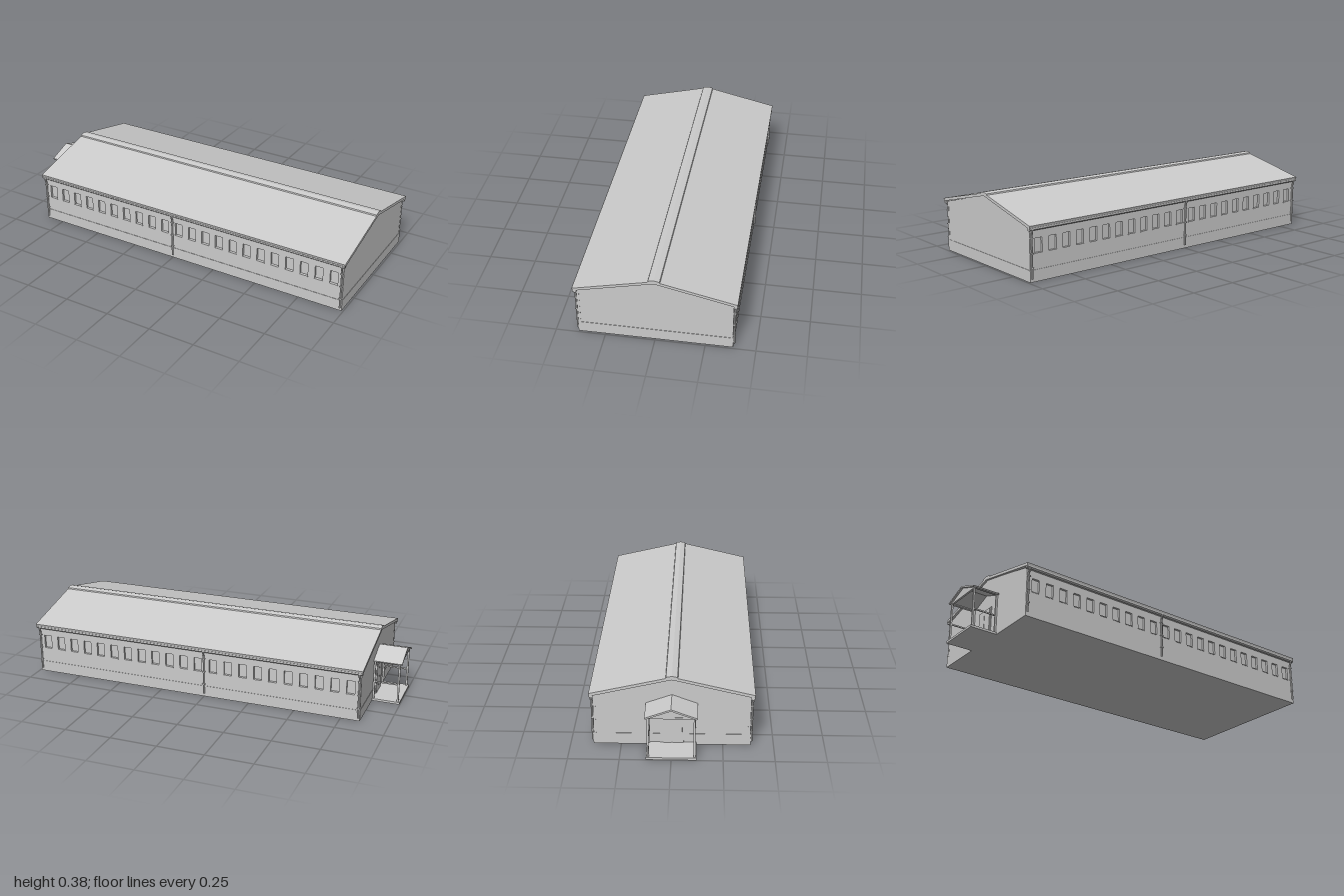
import * as THREE from 'three';

const material = new THREE.MeshStandardMaterial({ color: 0xcccccc, flatShading: true });

// Long building: extents of the wall faces
const X0 = -0.85, X1 = 0.99, WALL_Z = 0.385;

function add(parent, name, geometry) {
  const mesh = new THREE.Mesh(geometry, material);
  mesh.name = name;
  parent.add(mesh);
  return mesh;
}

// Box given by its minimum and maximum corners
function box(parent, name, x0, x1, y0, y1, z0, z1) {
  const mesh = add(parent, name, new THREE.BoxGeometry(x1 - x0, y1 - y0, z1 - z0));
  mesh.position.set((x0 + x1) / 2, (y0 + y1) / 2, (z0 + z1) / 2);
  return mesh;
}

// Cross-section of [z, y] points swept along x
function sweep(parent, name, points, x0, x1) {
  const shape = new THREE.Shape(points.map(([z, y]) => new THREE.Vector2(-z, y)));
  const geometry = new THREE.ExtrudeGeometry(shape, { depth: x1 - x0, bevelEnabled: false });
  geometry.rotateY(Math.PI / 2).translate(x0, 0, 0);
  return add(parent, name, geometry);
}

// Symmetric section from its right half, listed from the ridge outwards
const mirrored = half => [...half, ...half.filter(([z]) => z > 0).reverse().map(([z, y]) => [-z, y])];

// Symmetric pitched slab: a chevron section with a given upper and lower line
function chevron(parent, name, z, topRidge, topEave, lowRidge, lowEave, x0, x1) {
  return sweep(parent, name, [
    [0, topRidge], [z, topEave], [z - 0.004, lowEave], [0, lowRidge], [-z + 0.004, lowEave], [-z, topEave],
  ], x0, x1);
}

// Window centres: ten in one bay, twelve in the other
const windows = [];
for (let i = 0; i < 10; i++) windows.push(-0.797 + i * 0.083);
for (let i = 0; i < 12; i++) windows.push(0.037 + i * 0.082);
const WIN = { w: 0.043, y0: 0.14, y1: 0.214 };

function buildLongWall(side) {
  const group = new THREE.Group();
  group.name = side > 0 ? 'frontWall' : 'backWall';
  const shape = new THREE.Shape([
    new THREE.Vector2(X0, 0.06), new THREE.Vector2(X1, 0.06),
    new THREE.Vector2(X1, 0.266), new THREE.Vector2(X0, 0.266),
  ]);
  for (const x of windows) {
    const a = x - WIN.w / 2, b = x + WIN.w / 2;
    shape.holes.push(new THREE.Path([
      new THREE.Vector2(a, WIN.y0), new THREE.Vector2(a, WIN.y1),
      new THREE.Vector2(b, WIN.y1), new THREE.Vector2(b, WIN.y0),
    ]));
  }
  const wall = add(group, 'wallPanel', new THREE.ExtrudeGeometry(shape, { depth: 0.012, bevelEnabled: false }));
  wall.position.z = side > 0 ? WALL_Z - 0.012 : -WALL_Z;

  // Thin sills below the recessed panes
  for (const x of windows) {
    const sill = box(group, 'windowSill', x - 0.023, x + 0.023, WIN.y0 - 0.003, WIN.y0 + 0.001, -0.007, 0.007);
    sill.position.z = side * (WALL_Z - 0.005);
  }

  // Eaves gutter
  const gutter = [[0.384, 0.268], [0.403, 0.27], [0.403, 0.262], [0.396, 0.256], [0.384, 0.256]];
  sweep(group, 'gutter', gutter.map(([z, y]) => [side * z, y]), X0 - 0.008, X1 + 0.008);

  // Downpipes with a swan-neck at the top and wall brackets
  for (const x of [X0 + 0.008, 0, X1 - 0.008]) {
    const path = new THREE.CurvePath();
    const p = [[0.391, 0.018], [0.391, 0.235], [0.398, 0.25], [0.398, 0.264]]
      .map(([z, y]) => new THREE.Vector3(x, y, side * z));
    for (let i = 0; i < 3; i++) path.add(new THREE.LineCurve3(p[i], p[i + 1]));
    add(group, 'downpipe', new THREE.TubeGeometry(path, 40, 0.005, 8));
    for (const y of [0.07, 0.14, 0.215]) {
      const bracket = box(group, 'pipeBracket', x - 0.007, x + 0.007, y, y + 0.005, -0.006, 0.006);
      bracket.position.z = side * 0.391;
    }
  }
  return group;
}

function buildPorch() {
  const porch = new THREE.Group();
  porch.name = 'porch';
  box(porch, 'porchFloor', -0.998, X0, 0, 0.012, -0.122, 0.122);
  chevron(porch, 'porchRoof', 0.127, 0.277, 0.23, 0.268, 0.222, -1, X0);
  sweep(porch, 'porchGable', [[0, 0.27], [0.115, 0.226], [-0.115, 0.226]], -0.99, -0.982);
  box(porch, 'porchTieBeam', -0.991, -0.981, 0.221, 0.23, -0.118, 0.118);

  // Posts, side beams and handrails
  for (const s of [-1, 1]) {
    for (const x of [-0.986, -0.856]) {
      const post = add(porch, 'porchPost', new THREE.BoxGeometry(0.009, 0.215, 0.009));
      post.position.set(x, 0.118, s * 0.112);
    }
    for (const [name, y] of [['porchBeam', 0.226], ['porchRail', 0.108]]) {
      const bar = add(porch, name, new THREE.BoxGeometry(0.135, 0.007, 0.007));
      bar.position.set(-0.9185, y, s * 0.112);
    }
  }

  // Double door in the end wall
  box(porch, 'doorFrame', X0 - 0.004, X0 + 0.004, 0.012, 0.182, -0.058, 0.058);
  for (const s of [-1, 1]) {
    const leaf = add(porch, 'doorLeaf', new THREE.BoxGeometry(0.006, 0.16, 0.049));
    leaf.position.set(X0 - 0.004, 0.093, s * 0.026);
  }
  return porch;
}

export function createModel() {
  const model = new THREE.Group();
  model.name = 'longHall';

  // Inner core, whose long faces show as the window panes
  const gable = z => mirrored([[0, 0.363], [z, 0.267], [z, 0]]);
  sweep(model, 'hallCore', gable(WALL_Z - 0.013), X0 + 0.01, X1 - 0.01);
  sweep(model, 'rightGable', gable(WALL_Z - 0.0005), X0 + 0.001, X0 + 0.012);
  sweep(model, 'leftGable', gable(WALL_Z - 0.0005), X1 - 0.012, X1 - 0.001);
  box(model, 'plinth', X0 - 0.001, X1 + 0.001, 0, 0.06, -0.387, 0.387);

  // Main roof and ridge capping
  chevron(model, 'roof', 0.404, 0.376, 0.282, 0.361, 0.267, X0 - 0.01, 1);
  sweep(model, 'ridgeCap', [
    [0, 0.381], [0.028, 0.3755], [0.031, 0.367], [0, 0.373], [-0.031, 0.367], [-0.028, 0.3755],
  ], X0 - 0.01, 1);

  for (const side of [1, -1]) model.add(buildLongWall(side));
  model.add(buildPorch());
  return model;
}
